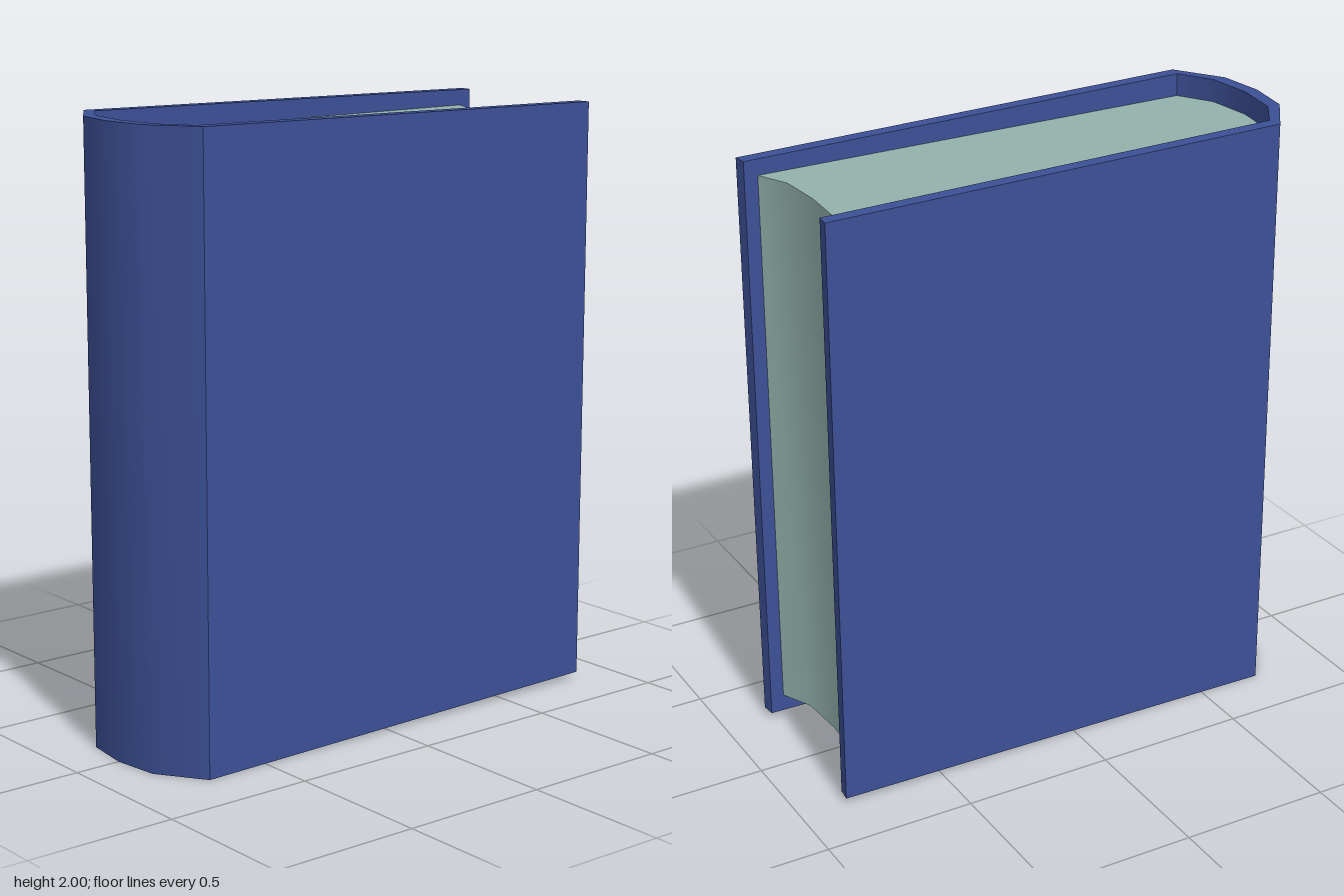
import * as THREE from 'three';
import { toCreasedNormals } from 'three/addons/utils/BufferGeometryUtils.js';

// Upright prism from a plan outline of [x, z] points
function prism(points, y0, y1) {
  const shape = new THREE.Shape(points.map(([x, z]) => new THREE.Vector2(x, -z)));
  const geometry = new THREE.ExtrudeGeometry(shape, { depth: y1 - y0, bevelEnabled: false });
  return geometry.rotateX(-Math.PI / 2).translate(0, y0, 0);
}

// Mirrors half an outline (z >= 0, front edge towards spine) to the back
function mirrored(half) {
  const back = half.filter(([, z]) => z > 0).map(([x, z]) => [x, -z]).reverse();
  return [...half, ...back];
}

function part(name, geometry, color) {
  const mesh = new THREE.Mesh(
    toCreasedNormals(geometry, 0.6),
    new THREE.MeshStandardMaterial({ color })
  );
  mesh.name = name;
  return mesh;
}

export function createModel() {
  const book = new THREE.Group();
  book.name = 'book';

  // Cover: two boards joined by a faceted, rounded spine
  const outer = [[0.845, 0.31], [-0.72, 0.31], [-0.825, 0.155], [-0.845, 0]];
  const inner = [[0.84, 0.265], [-0.71, 0.265], [-0.78, 0.155], [-0.8, 0]];
  const outline = [...mirrored(outer), ...mirrored(inner).reverse()];
  const coverGeometry = prism(outline, 0, 2);

  // Boards narrow slightly in height towards the open edge
  const pos = coverGeometry.attributes.position;
  for (let i = 0; i < pos.count; i++) {
    const t = THREE.MathUtils.clamp((pos.getX(i) + 0.71) / 1.55, 0, 1);
    pos.setY(i, 1 + (pos.getY(i) - 1) * (1 - 0.023 * t));
  }
  book.add(part('cover', coverGeometry, 0x3c5096));

  // Page block: rounded at the spine, hollow at the open edge
  const pages = mirrored([
    [0.735, 0], [0.745, 0.16], [0.795, 0.265],
    [-0.71, 0.265], [-0.78, 0.155], [-0.8, 0],
  ]);
  book.add(part('pages', prism(pages, 0.08, 1.925), 0x92b1ab));

  return book;
}
